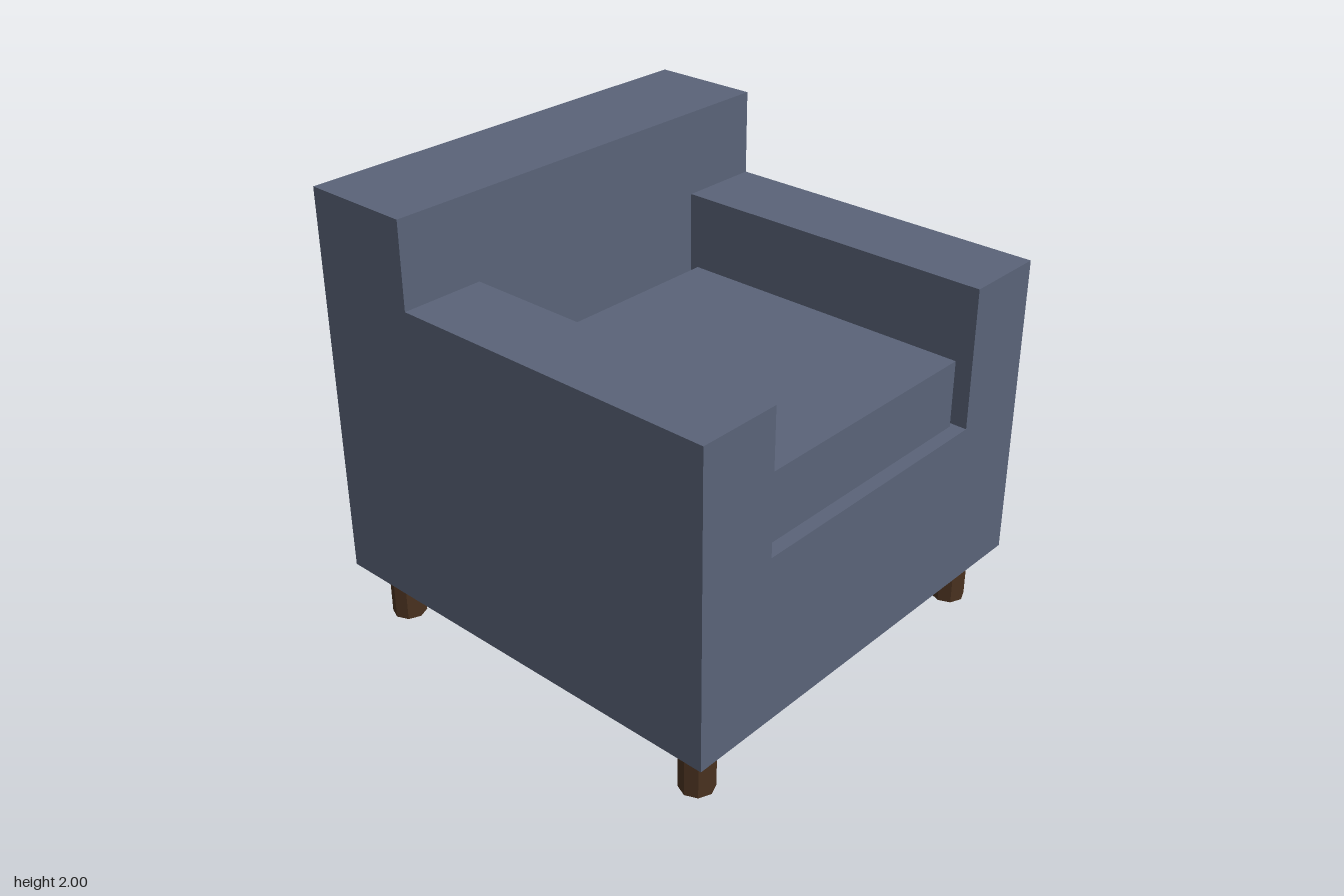
import * as THREE from 'three';

export function createModel() {
  const fabric = new THREE.MeshStandardMaterial({ name: 'slate fabric', color: 0x5a6378 });
  const wood = new THREE.MeshStandardMaterial({ name: 'dark wood', color: 0x4a3220, flatShading: true });
  const model = new THREE.Group();
  model.name = 'armchair';

  const add = (name, geometry, material, x, y, z) => {
    const mesh = new THREE.Mesh(geometry, material);
    mesh.name = name;
    mesh.position.set(x, y, z);
    model.add(mesh);
  };

  // Seat base and both arms: one U-shaped front profile run back to the backrest
  const profile = new THREE.Shape([
    [-1, 0.25], [1, 0.25], [1, 1.625], [0.625, 1.625],
    [0.625, 1], [-0.625, 1], [-0.625, 1.625], [-1, 1.625],
  ].map(([x, y]) => new THREE.Vector2(x, y)));
  add('baseAndArms', new THREE.ExtrudeGeometry(profile, { depth: 1.5, bevelEnabled: false }), fabric, 0, 0, -0.5);

  // Full-height backrest
  add('backrest', new THREE.BoxGeometry(2, 1.75, 0.5), fabric, 0, 1.125, -0.75);

  // Loose cushion, set in slightly from the arms, back and front edge
  add('seatCushion', new THREE.BoxGeometry(1.2, 0.3, 1.375), fabric, 0, 1.15, 0.25);

  // Four octagonal legs
  for (const x of [-0.85, 0.85]) {
    for (const z of [-0.85, 0.85]) {
      const name = (z > 0 ? 'front' : 'back') + (x > 0 ? 'Left' : 'Right') + 'Leg';
      add(name, new THREE.CylinderGeometry(0.075, 0.075, 0.25, 8), wood, x, 0.125, z);
    }
  }
  return model;
}
